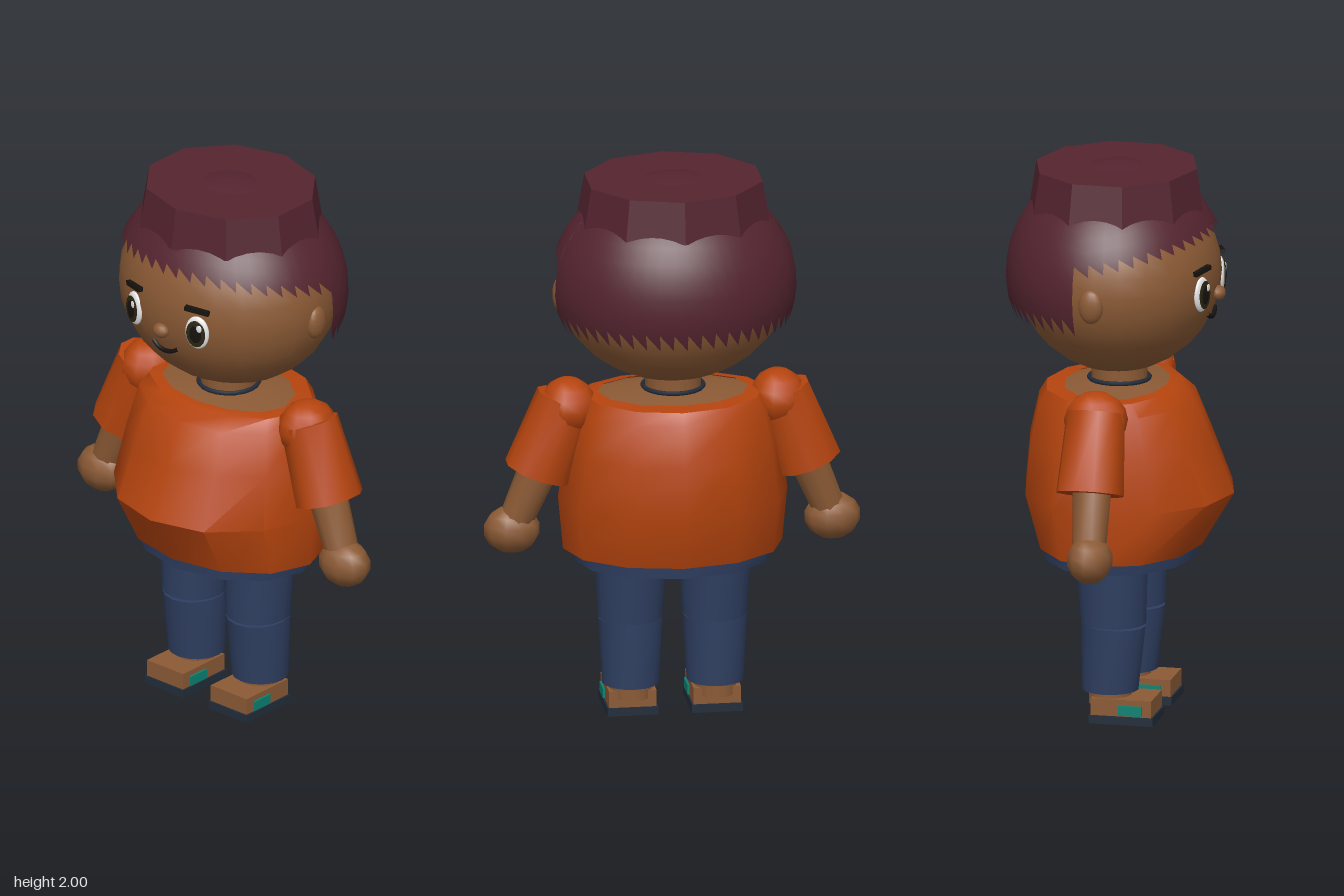
import * as THREE from 'three';
import { toCreasedNormals } from 'three/addons/utils/BufferGeometryUtils.js';

const mat = (name, color, side = THREE.FrontSide) => {
  const m = new THREE.MeshStandardMaterial({ color, side });
  m.name = name;
  return m;
};

export function createModel() {
  const skin = mat('skin brown', 0x8b5a35);
  const hair = mat('plum', 0x54242f, THREE.DoubleSide);
  const orange = mat('burnt orange', 0xb5440e, THREE.DoubleSide);
  const denim = mat('denim blue', 0x2f3f61, THREE.DoubleSide);
  const navy = mat('dark navy', 0x222c3a);
  const teal = mat('teal', 0x0c8272);
  const white = mat('white', 0xeeeeee);
  const iris = mat('dark olive', 0x2c2612);
  const black = mat('near black', 0x16120e);

  const model = new THREE.Group();
  model.name = 'character';

  const add = (name, geo, material, pos = [0, 0, 0], scale = [1, 1, 1], parent = model) => {
    const m = new THREE.Mesh(geo, material);
    m.name = name;
    m.position.set(...pos);
    m.scale.set(...scale);
    parent.add(m);
    return m;
  };
  const ball = (name, material, pos, radii, parent = model, w = 24, h = 16) =>
    add(name, new THREE.SphereGeometry(1, w, h), material, pos, radii, parent);

  // Surface through rings [y, halfWidth, frontDepth, backDepth, centreZ, tilt], bottom to top
  const loft = (rings, n = 12, crease = 0.7) => {
    const pos = [], idx = [];
    for (const [y, rx, f, b, cz = 0, tilt = 0] of rings) {
      for (let j = 0; j <= n; j++) {
        const a = (j / n) * Math.PI * 2, c = Math.cos(a);
        pos.push(rx * Math.sin(a), y - tilt * c, cz + (c > 0 ? f : b) * c);
      }
    }
    for (let i = 0; i < rings.length - 1; i++) {
      for (let j = 0; j < n; j++) {
        const p = i * (n + 1) + j, q = p + n + 1;
        idx.push(p, p + 1, q + 1, p, q + 1, q);
      }
    }
    const g = new THREE.BufferGeometry();
    g.setAttribute('position', new THREE.Float32BufferAttribute(pos, 3));
    g.setIndex(idx);
    return toCreasedNormals(g, crease);
  };

  // Head, ears and nose
  ball('head', skin, [0, 1.6, -0.01], [0.415, 0.355, 0.36]);
  ball('nose', skin, [0, 1.54, 0.35], [0.033, 0.027, 0.026], model, 12, 8);
  for (const s of [-1, 1]) ball('ear', skin, [s * 0.405, 1.57, -0.02], [0.028, 0.062, 0.045], model, 12, 10);

  // Eyes and brows
  for (const s of [-1, 1]) {
    const eye = new THREE.Group();
    eye.name = 'eye';
    eye.position.set(s * 0.148, 1.57, 0.323);
    eye.rotation.y = s * 0.3;
    model.add(eye);
    ball('eyeWhite', white, [0, 0, 0], [0.046, 0.063, 0.016], eye);
    ball('iris', iris, [0, 0, 0.014], [0.037, 0.051, 0.004], eye);
    ball('pupil', black, [0, 0, 0.017], [0.023, 0.034, 0.003], eye);
    ball('highlight', white, [0.015, 0.024, 0.019], [0.011, 0.014, 0.003], eye, 12, 8);
    const brow = add('brow', new THREE.BoxGeometry(0.092, 0.017, 0.022), black, [s * 0.148, 1.657, 0.323]);
    brow.rotation.set(0, s * 0.36, -s * 0.1);
  }

  // Mouth
  const smile = new THREE.CatmullRomCurve3([
    [-0.058, 1.474, 0.323], [-0.03, 1.459, 0.328], [0, 1.454, 0.329], [0.03, 1.459, 0.328], [0.058, 1.474, 0.323],
  ].map((p) => new THREE.Vector3(...p)));
  add('mouth', new THREE.TubeGeometry(smile, 16, 0.008, 6), black);

  // Hair: an open ellipsoid shell whose lower edge follows a rule
  const hairPart = (name, from, to, edgeY) => {
    const R = [0.437, 0.4, 0.389], cy = 1.6, cz = -0.021;
    const g = new THREE.SphereGeometry(1, 24, 12);
    const p = g.attributes.position, uv = g.attributes.uv;
    for (let i = 0; i < p.count; i++) {
      const col = Math.round((i % 25));
      const a = from + (to - from) * (col / 24), v = Math.floor(i / 25) / 12;
      let end = Math.PI / 2;
      for (let k = 0; k < 6; k++) end = Math.acos((edgeY(cz + R[2] * Math.sin(end) * Math.cos(a)) - cy) / R[1]);
      const t = end * v;
      p.setXYZ(i, R[0] * Math.sin(t) * Math.sin(a), cy + R[1] * Math.cos(t), cz + R[2] * Math.sin(t) * Math.cos(a));
      g.attributes.normal.setXYZ(i, ...new THREE.Vector3(
        Math.sin(t) * Math.sin(a) / R[0], Math.cos(t) / R[1], Math.sin(t) * Math.cos(a) / R[2]).normalize().toArray());
    }
    add(name, g, hair);
  };
  const split = Math.acos(-0.155);
  hairPart('fringe', -split, split, (z) => 1.67 + (z + 0.08) * 0.21);
  hairPart('backHair', split, Math.PI * 2 - split, () => 1.46);

  // Faceted flat crown above the hair
  const crown = new THREE.CylinderGeometry(0.322, 0.348, 0.15, 10).toNonIndexed();
  crown.computeVertexNormals();
  add('crown', crown, hair, [0, 1.913, -0.02], [1, 1, 0.905]);

  // Neck, bare shoulders and necklace
  add('neck', new THREE.CylinderGeometry(0.1, 0.1, 0.14, 16), skin, [0, 1.22, -0.01]);
  add('upperChest', loft([[1.186, 0.29, 0.18, 0.22], [1.198, 0.2, 0.14, 0.17], [1.207, 0.09, 0.08, 0.1]]), skin);
  add('necklace', new THREE.TorusGeometry(0.108, 0.008, 6, 20), navy, [0, 1.212, -0.01]).rotation.x = Math.PI / 2;

  // Shirt with a full belly
  add('shirt', loft([
    [0.622, 0.33, 0.25, 0.25],
    [0.615, 0.392, 0.29, 0.29],
    [0.81, 0.41, 0.407, 0.35],
    [1.0, 0.382, 0.325, 0.333],
    [1.145, 0.35, 0.26, 0.3],
    [1.19, 0.325, 0.2, 0.272],
    [1.195, 0.27, 0.165, 0.205],
  ]), orange);

  // Waistband ring around the body's underside
  add('waistband', loft([
    [0.62, 0.31, 0.23, 0.23], [0.572, 0.31, 0.23, 0.23],
    [0.572, 0.355, 0.272, 0.275], [0.63, 0.365, 0.278, 0.28],
  ]), denim);
  add('lowerBody', loft([[0.585, 0, 0, 0], [0.585, 0.27, 0.2, 0.2], [0.62, 0.33, 0.25, 0.25]]), skin);

  for (const s of [-1, 1]) {
    // Trouser legs in two pieces, open at the front of the knee
    const leg = new THREE.Group();
    leg.name = 'leg';
    leg.position.x = s * 0.151;
    model.add(leg);
    add('upperLeg', loft([
      [0.353, 0, 0, 0], [0.353, 0.115, 0.122, 0.112], [0.62, 0.131, 0.128, 0.134],
    ], 16), denim, undefined, undefined, leg);
    add('lowerLeg', loft([
      [0.11, 0, 0, 0, -0.008], [0.11, 0.102, 0.102, 0.1, -0.008],
      [0.349, 0.115, 0.12, 0.112, 0, 0.006], [0.349, 0, 0, 0],
    ], 16), denim, undefined, undefined, leg);

    // Ankle and shoe
    add('ankle', new THREE.CylinderGeometry(0.078, 0.078, 0.06, 12), skin, [0, 0.09, -0.008], undefined, leg);
    add('shoe', new THREE.BoxGeometry(0.17, 0.062, 0.22), skin, [0, 0.06, 0.05], undefined, leg);
    add('sole', new THREE.BoxGeometry(0.182, 0.03, 0.232), navy, [0, 0.015, 0.05], undefined, leg);
    for (const side of [-1, 1]) {
      add('shoePatch', new THREE.BoxGeometry(0.009, 0.036, 0.085), teal, [side * 0.088, 0.052, 0.084], undefined, leg);
    }

    // Arm: shoulder, sleeve, forearm, hand
    const limb = (name, a, b, ra, rb, n, material) => {
      const A = new THREE.Vector3(...a), B = new THREE.Vector3(...b);
      const g = toCreasedNormals(new THREE.CylinderGeometry(ra, rb, A.distanceTo(B), n), 0.9);
      const m = add(name, g, material, A.clone().add(B).multiplyScalar(0.5).toArray());
      m.quaternion.setFromUnitVectors(new THREE.Vector3(0, 1, 0), A.sub(B).normalize());
    };
    ball('shoulder', orange, [s * 0.375, 1.15, -0.008], [0.102, 0.103, 0.115], model, 10, 8);
    limb('sleeve', [s * 0.385, 1.178, -0.006], [s * 0.483, 0.905, -0.004], 0.105, 0.123, 10, orange);
    limb('forearm', [s * 0.47, 0.94, 0], [s * 0.565, 0.71, 0.012], 0.072, 0.06, 10, skin);
    ball('hand', skin, [s * 0.573, 0.69, 0.016], [0.102, 0.086, 0.081], model, 10, 7);
  }

  return model;
}
